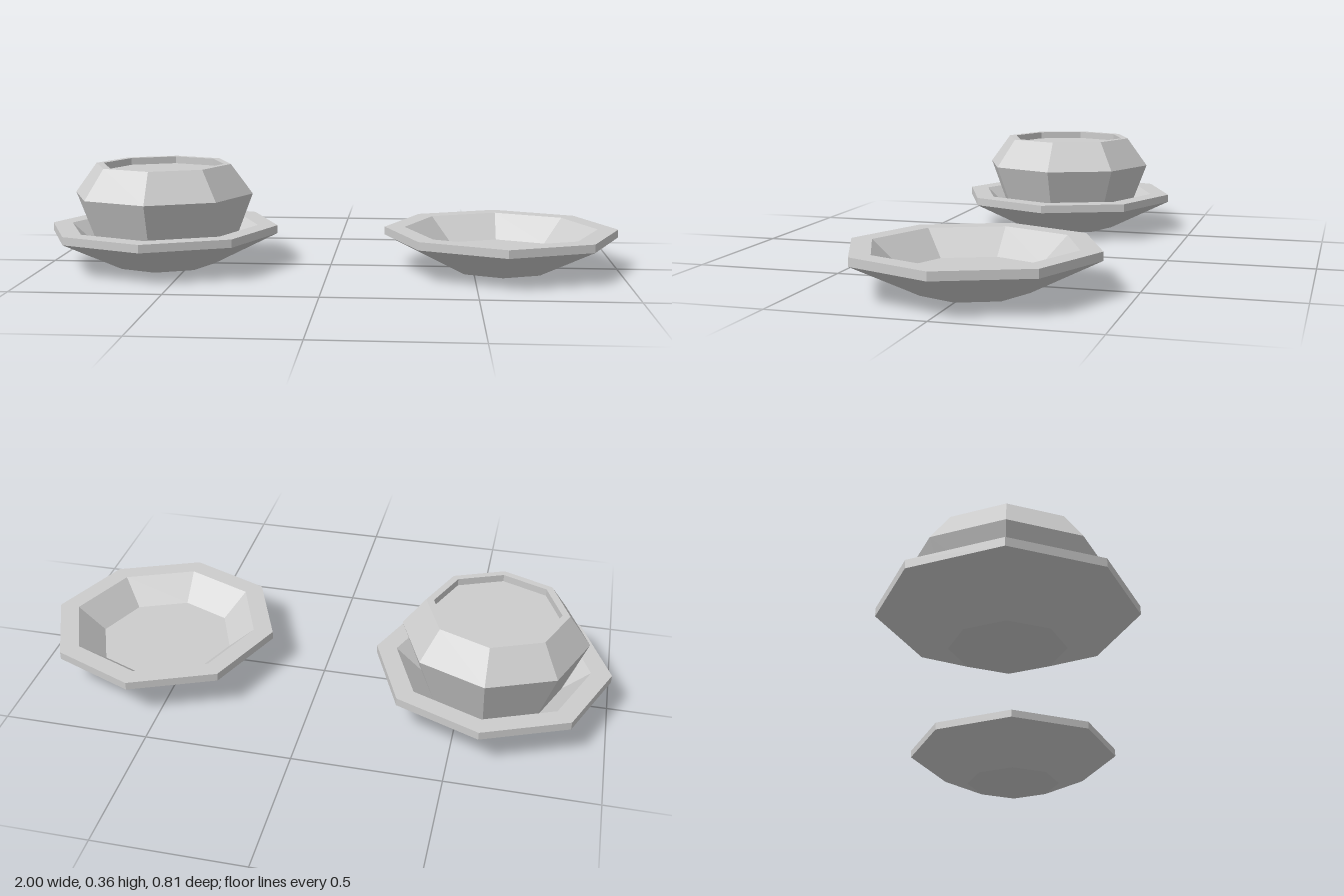
import * as THREE from 'three';

const grey = new THREE.MeshStandardMaterial({ color: 0xcccccc, flatShading: true });
grey.name = 'grey ceramic';

// Eight-sided turned part with corners on the x and z axes
function turned(name, profile, x) {
  const points = profile.map(([r, y]) => new THREE.Vector2(r, y));
  const mesh = new THREE.Mesh(new THREE.LatheGeometry(points, 8), grey);
  mesh.name = name;
  mesh.position.x = x;
  return mesh;
}

// Profiles run from the underside, up the outside, then down the inside
const saucerProfile = [
  [0, 0], [0.18, 0], [0.405, 0.112], [0.405, 0.14],
  [0.335, 0.14], [0.24, 0.055], [0, 0.055],
];
const bowlProfile = [
  [0, 0.056], [0.243, 0.056], [0.318, 0.253], [0.241, 0.357],
  [0.215, 0.357], [0.215, 0.332], [0, 0.332],
];

export function createModel() {
  const model = new THREE.Group();
  model.name = 'bowlAndSaucers';
  // Matching saucers on both sides
  model.add(turned('rightSaucer', saucerProfile, -0.595));
  model.add(turned('leftSaucer', saucerProfile, 0.595));
  // Filled bowl resting in the right saucer
  model.add(turned('bowl', bowlProfile, -0.595));
  return model;
}
